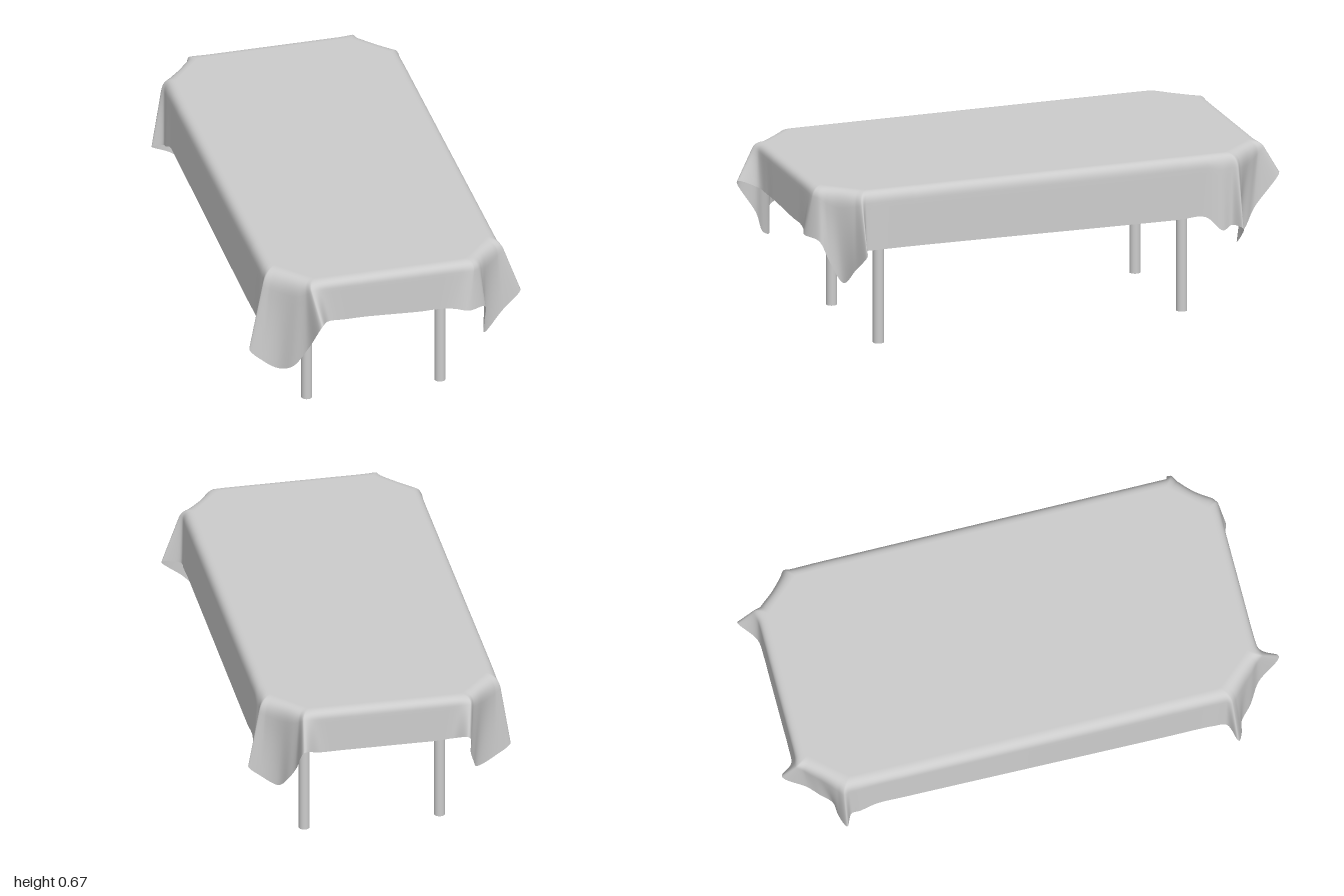
import * as THREE from 'three';

const TOP = 0.672;
const V = (x, y, z) => new THREE.Vector3(x, y, z);
const material = new THREE.MeshStandardMaterial({ color: 0xcccccc, side: THREE.DoubleSide });

// Table edge at one corner, from the long side round to the short end
const edgePoints = [
  [0.468, 0.55], [0.468, 0.65], [0.468, 0.71], [0.468, 0.75], [0.466, 0.772], [0.45, 0.79], [0.40, 0.845],
  [0.365, 0.882], [0.345, 0.902], [0.33, 0.915], [0.285, 0.9175], [0.21, 0.9175], [0.13, 0.9175],
];

// Per corner: signs, plain hem heights, and the draped hem (tuck, side fold, hanging tip, end fold)
const corners = [
  { sx: 1, sz: 1, sideHem: 0.44, endHem: 0.487, drape: [
    [0.466, 0.44, 0.70], [0.468, 0.44, 0.745], [0.54, 0.44, 0.765], [0.46, 0.365, 0.785], [0.385, 0.295, 0.81],
    [0.372, 0.38, 0.86], [0.362, 0.465, 0.90], [0.29, 0.475, 0.935], [0.235, 0.483, 0.92]] },
  { sx: -1, sz: 1, sideHem: 0.405, endHem: 0.497, drape: [
    [-0.486, 0.405, 0.69], [-0.488, 0.385, 0.745], [-0.545, 0.34, 0.775], [-0.50, 0.295, 0.80], [-0.44, 0.26, 0.815],
    [-0.395, 0.285, 0.86], [-0.345, 0.38, 0.905], [-0.31, 0.525, 0.995], [-0.265, 0.505, 0.925]] },
  { sx: -1, sz: -1, sideHem: 0.432, endHem: 0.497, drape: [
    [-0.486, 0.40, -0.715], [-0.484, 0.385, -0.75], [-0.525, 0.37, -0.775], [-0.46, 0.33, -0.795], [-0.39, 0.295, -0.80],
    [-0.365, 0.345, -0.845], [-0.345, 0.41, -0.89], [-0.32, 0.53, -0.985], [-0.27, 0.505, -0.935]] },
  { sx: 1, sz: -1, sideHem: 0.432, endHem: 0.497, drape: [
    [0.476, 0.375, -0.715], [0.466, 0.39, -0.755], [0.51, 0.385, -0.785], [0.46, 0.34, -0.795], [0.395, 0.297, -0.80],
    [0.365, 0.35, -0.85], [0.343, 0.41, -0.89], [0.33, 0.54, -0.998], [0.255, 0.50, -0.935]] },
];

// Pairs of [table edge point, hem point] running from the long side to the short end
function cornerRibs({ sx, sz, sideHem, endHem, drape }) {
  const place = (x, y, z) => V(sx * x - 0.01, y, sz * z - 0.0075);
  const hem = [
    place(0.474, sideHem, 0.52), place(0.474, sideHem, 0.64),
    ...drape.map((p) => V(...p)),
    place(0.19, endHem, 0.921), place(0.11, endHem, 0.921),
  ];
  return edgePoints.map(([x, z], i) => [place(x, TOP, z), hem[i]]);
}

function clothGeometry() {
  const ribs = corners.flatMap((c, i) => (i % 2 ? cornerRibs(c).reverse() : cornerRibs(c)));
  const hemCurve = new THREE.CatmullRomCurve3(ribs.map((r) => r[1]), true, 'centripetal');
  const steps = 8, around = ribs.length * steps, bend = 8, drop = 10;
  const rows = bend + drop + 1;
  const positions = [0, TOP, 0], indices = [];

  for (let i = 0; i < around; i++) {
    const k = Math.floor(i / steps);
    const edge = ribs[k][0].clone().lerp(ribs[(k + 1) % ribs.length][0], (i % steps) / steps);
    const hem = hemCurve.getPoint(i / around);
    // Soft bend over the table edge, then a straight fall to the hem
    const inner = V(edge.x * 0.91, TOP, edge.z * 0.955);
    const below = edge.clone().lerp(hem, 0.19);
    const roll = new THREE.QuadraticBezierCurve3(inner, edge, below);
    for (let j = 0; j < rows; j++) {
      const p = j <= bend ? roll.getPoint(j / bend) : below.clone().lerp(hem, (j - bend) / drop);
      positions.push(p.x, p.y, p.z);
    }
  }
  for (let i = 0; i < around; i++) {
    const a = 1 + i * rows, b = 1 + ((i + 1) % around) * rows;
    indices.push(0, b, a);
    for (let j = 0; j < rows - 1; j++) {
      indices.push(a + j, b + j + 1, a + j + 1, a + j, b + j, b + j + 1);
    }
  }
  const geometry = new THREE.BufferGeometry();
  geometry.setAttribute('position', new THREE.Float32BufferAttribute(positions, 3));
  geometry.setIndex(indices);
  geometry.computeVertexNormals();
  return geometry;
}

// Eight-sided board under the cloth
function boardGeometry() {
  const outline = [[0.44, 0.75], [0.31, 0.885], [-0.31, 0.885], [-0.44, 0.75],
    [-0.44, -0.75], [-0.31, -0.885], [0.31, -0.885], [0.44, -0.75]];
  const shape = new THREE.Shape(outline.map(([x, z]) => new THREE.Vector2(x - 0.01, z + 0.0075)));
  return new THREE.ExtrudeGeometry(shape, { depth: 0.038, bevelEnabled: false }).rotateX(-Math.PI / 2);
}

export function createModel() {
  const group = new THREE.Group();
  const add = (name, geometry, x = 0, y = 0, z = 0) => {
    const mesh = new THREE.Mesh(geometry, material);
    mesh.name = name;
    mesh.position.set(x, y, z);
    group.add(mesh);
  };

  add('tablecloth', clothGeometry());
  add('tabletop', boardGeometry(), 0, 0.622, 0);

  // Four round legs
  const leg = new THREE.CylinderGeometry(0.0215, 0.0215, 0.63, 24);
  for (const { sx, sz } of corners) {
    const name = (sz > 0 ? 'front' : 'back') + (sx > 0 ? 'Left' : 'Right') + 'Leg';
    add(name, leg, sx * 0.266 - 0.009, 0.315, sz * 0.622 - 0.002);
  }
  return group;
}
